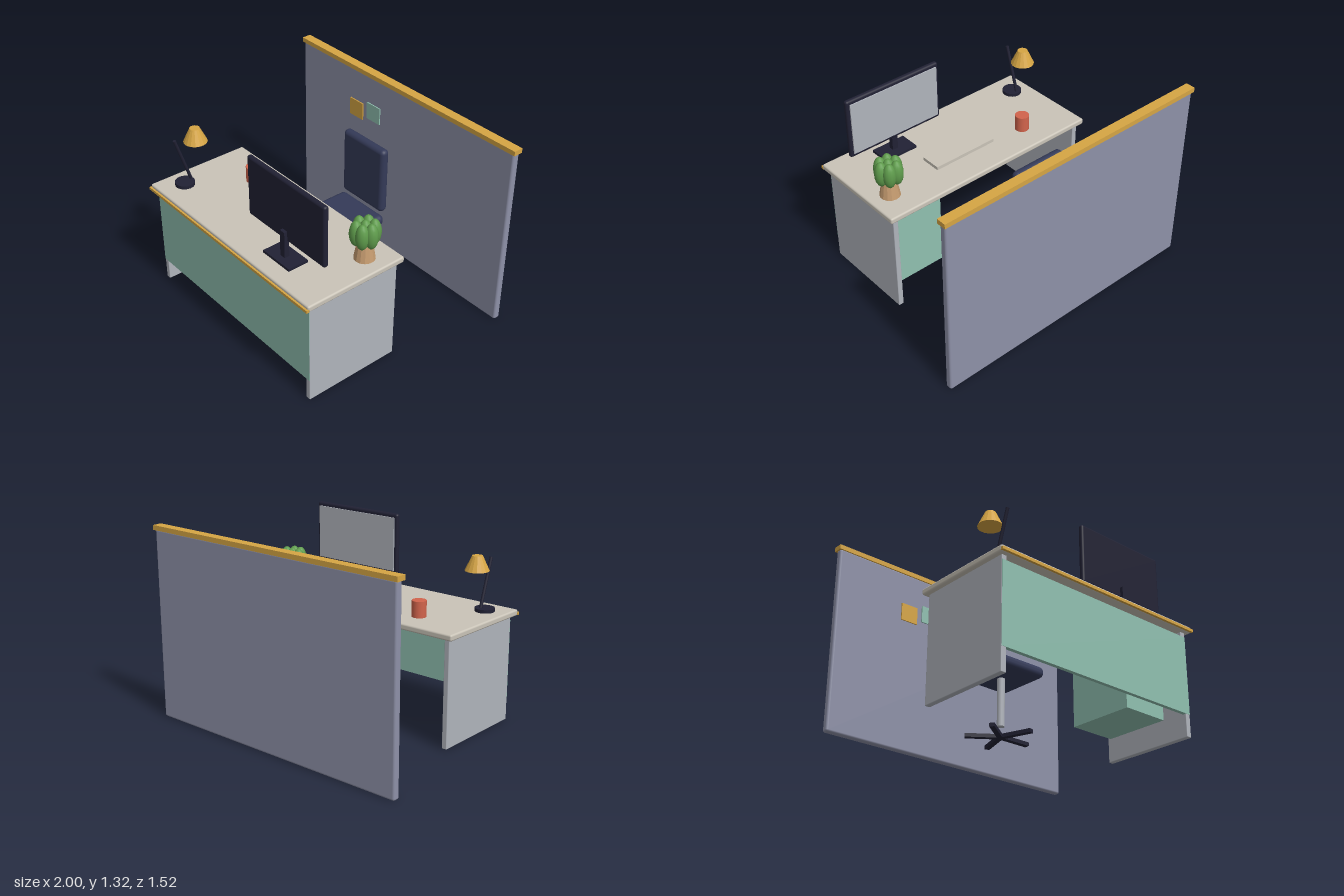
import * as THREE from 'three';
import { RoundedBoxGeometry } from 'three/addons/geometries/RoundedBoxGeometry.js';

const mat = (name, color, flatShading = false) => {
  const m = new THREE.MeshStandardMaterial({ color, flatShading });
  m.name = name;
  return m;
};

export function createModel() {
  const C = {
    fabric: mat('greyBlueFabric', 0x8e91a8),
    teal: mat('tealPaint', 0x90c0b0),
    amber: mat('amber', 0xd6a544, true),
    top: mat('paleLaminate', 0xcac4b8),
    grey: mat('lightGrey', 0xb0b4bc),
    navy: mat('navyUpholstery', 0x343a58),
    dark: mat('darkPlastic', 0x212134),
    red: mat('redCeramic', 0xd2644c),
    green: mat('leafGreen', 0x5f9c4c),
    pot: mat('clayPot', 0xc69c70, true),
  };
  const model = new THREE.Group();
  model.name = 'officeWorkstation';

  const group = (name) => {
    const g = new THREE.Group();
    g.name = name;
    model.add(g);
    return g;
  };
  const add = (parent, name, geo, material, x = 0, y = 0, z = 0) => {
    const m = new THREE.Mesh(geo, material);
    m.name = name;
    m.position.set(x, y, z);
    parent.add(m);
    return m;
  };
  // Box given by its extents; r > 0 rounds the edges
  const box = (parent, name, material, [x0, x1], [y0, y1], [z0, z1], r = 0) => {
    const s = [x1 - x0, y1 - y0, z1 - z0];
    const geo = r ? new RoundedBoxGeometry(...s, 3, r) : new THREE.BoxGeometry(...s);
    return add(parent, name, geo, material, (x0 + x1) / 2, (y0 + y1) / 2, (z0 + z1) / 2);
  };
  const cyl = (parent, name, material, rTop, rBottom, [y0, y1], x, z, sides = 16) =>
    add(parent, name, new THREE.CylinderGeometry(rTop, rBottom, y1 - y0, sides), material, x, (y0 + y1) / 2, z);

  // Partition wall with cap rail and notes
  const wall = group('partition');
  box(wall, 'partitionPanel', C.fabric, [-0.99, 0.99], [0.005, 1.295], [-0.75, -0.7], 0.015);
  box(wall, 'partitionCap', C.amber, [-1, 1], [1.288, 1.32], [-0.758, -0.692]);
  box(wall, 'amberNote', C.amber, [-0.48, -0.35], [0.935, 1.06], [-0.701, -0.692]);
  box(wall, 'tealNote', C.teal, [-0.31, -0.18], [0.97, 1.093], [-0.701, -0.692]);

  // Desk
  const desk = group('desk');
  box(desk, 'deskTop', C.top, [-0.82, 0.82], [0.73, 0.772], [0, 0.745], 0.012);
  box(desk, 'deskEdgeStrip', C.amber, [-0.82, 0.82], [0.733, 0.752], [0.738, 0.758]);
  for (const s of [-1, 1]) {
    const xs = s > 0 ? [0.75, 0.787] : [-0.787, -0.75];
    box(desk, s > 0 ? 'leftSidePanel' : 'rightSidePanel', C.grey, xs, [0.005, 0.735], [0.03, 0.71], 0.005);
  }
  box(desk, 'modestyPanel', C.teal, [-0.785, 0.785], [0.16, 0.7], [0.685, 0.712]);
  box(desk, 'drawerUnit', C.teal, [0.38, 0.72], [0.152, 0.695], [0.08, 0.55]);

  // Chair
  const chair = group('chair');
  box(chair, 'chairSeat', C.navy, [-0.208, 0.208], [0.475, 0.555], [-0.412, -0.004], 0.036);
  box(chair, 'chairBack', C.navy, [-0.195, 0.195], [0.575, 1.05], [-0.445, -0.381], 0.03);
  cyl(chair, 'chairColumn', C.grey, 0.026, 0.026, [0.14, 0.48], 0, -0.208, 12);
  for (let i = 0; i < 5; i++) {
    const a = (i / 5) * Math.PI * 2;
    const arm = add(chair, 'chairFoot', new THREE.BoxGeometry(0.23, 0.025, 0.035), C.dark,
      Math.cos(a) * 0.115, 0.072, -0.21 - Math.sin(a) * 0.115);
    arm.rotation.y = a;
  }

  // Monitor, facing the chair
  const monitor = group('monitor');
  box(monitor, 'monitorCase', C.dark, [0.016, 0.734], [0.902, 1.323], [0.521, 0.558], 0.016);
  box(monitor, 'monitorScreen', C.grey, [0.038, 0.712], [0.93, 1.297], [0.513, 0.522]);
  box(monitor, 'monitorPost', C.dark, [0.354, 0.396], [0.78, 0.977], [0.545, 0.58]);
  box(monitor, 'monitorBase', C.dark, [0.25, 0.497], [0.775, 0.793], [0.485, 0.63]);

  // Desk lamp
  const lamp = group('deskLamp');
  cyl(lamp, 'lampBase', C.dark, 0.066, 0.066, [0.772, 0.795], -0.675, 0.572, 20);
  const arm = cyl(lamp, 'lampArm', C.dark, 0.011, 0.011, [0.795, 1.13], -0.675, 0.575, 8);
  arm.rotation.x = 0.31;
  const shade = cyl(lamp, 'lampShade', C.amber, 0.034, 0.08, [1.062, 1.16], -0.675, 0.468, 16);
  shade.rotation.y = Math.PI / 16;

  // Mug and keyboard
  const items = group('deskItems');
  cyl(items, 'mug', C.red, 0.048, 0.048, [0.77, 0.88], -0.428, 0.195, 20);
  box(items, 'keyboard', C.top, [-0.172, 0.304], [0.78, 0.803], [0.195, 0.34]);

  // Potted plant: a ring of upright leaves round a central one
  const plant = group('plant');
  cyl(plant, 'plantPot', C.pot, 0.048, 0.068, [0.78, 0.895], 0.68, 0.198, 14);
  const leaf = new THREE.SphereGeometry(1, 14, 10);
  for (let i = 0; i < 7; i++) {
    const a = (i / 6) * Math.PI * 2;
    const r = i < 6 ? 0.056 : 0;
    const l = add(plant, 'leaf', leaf, C.green, 0.68 + Math.cos(a) * r, 0.965, 0.198 + Math.sin(a) * r);
    l.scale.set(0.043, 0.088, 0.043);
  }
  return model;
}
